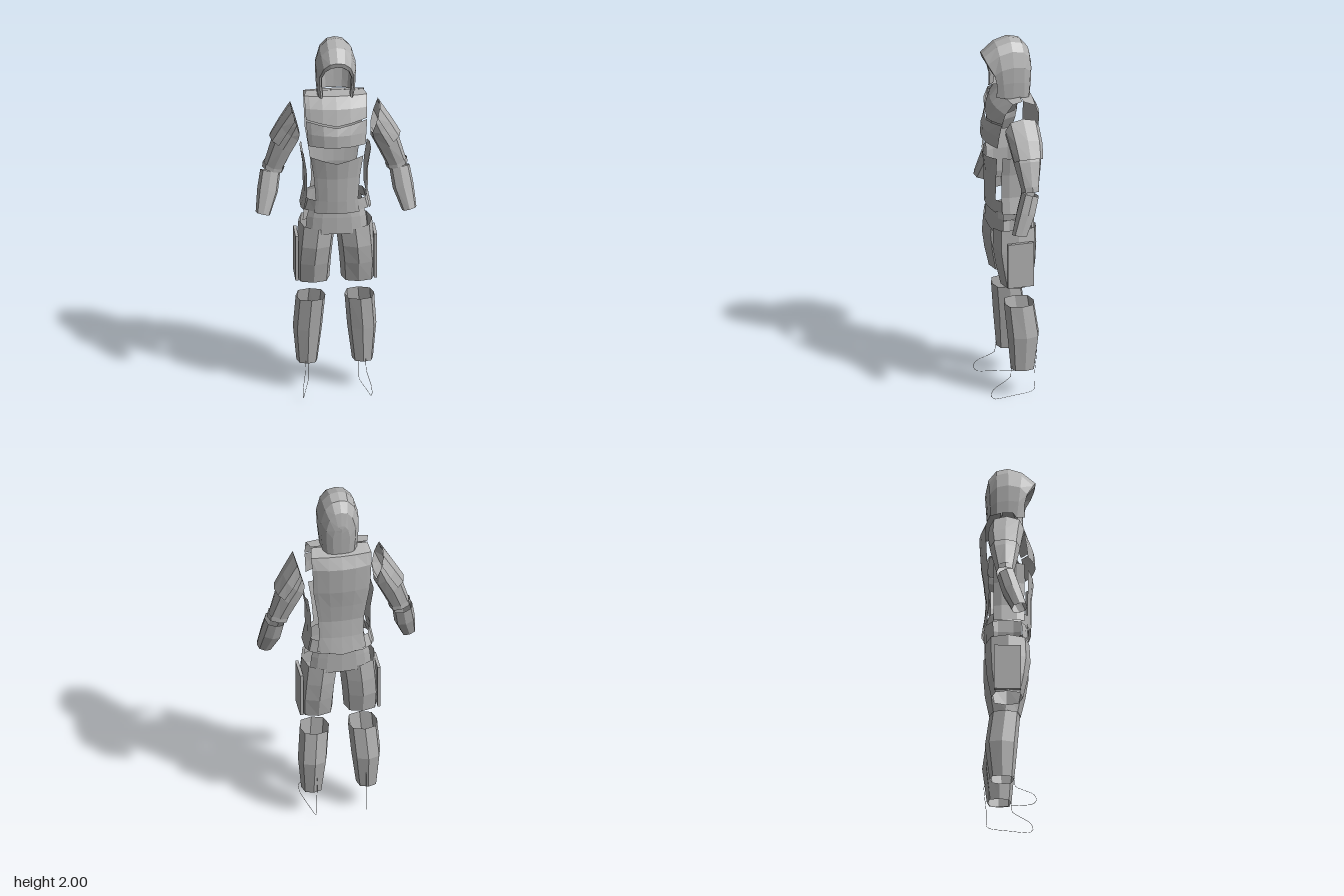
import * as THREE from 'three';

const fabric = new THREE.MeshStandardMaterial({ color: 0xb2b2b2, flatShading: true, side: THREE.DoubleSide });
fabric.name = 'grey fabric';

// Skin a list of equal-length point rows into a faceted surface
function grid(name, rows) {
  const pos = [], idx = [], n = rows[0].length;
  rows.forEach(r => r.forEach(p => pos.push(...p)));
  for (let i = 0; i < rows.length - 1; i++) {
    for (let j = 0; j < n - 1; j++) {
      const a = i * n + j, b = a + 1, c = a + n, d = c + 1;
      idx.push(a, c, b, b, c, d);
    }
  }
  const g = new THREE.BufferGeometry();
  g.setAttribute('position', new THREE.Float32BufferAttribute(pos, 3));
  g.setIndex(idx);
  const flat = g.toNonIndexed();
  flat.computeVertexNormals();
  const m = new THREE.Mesh(flat, fabric);
  m.name = name;
  return m;
}

// Tube or partial tube: rows are [outerX, outerY, innerX, innerY, frontZ, backZ, frontLift]
function sleeve(name, rows, from = 0, to = 360, n = 8) {
  const soft = v => Math.sign(v) * Math.abs(v) ** 0.75;
  return grid(name, rows.map(([xo, yo, xi, yi, zf, zb, lift = 0]) =>
    Array.from({ length: n + 1 }, (_, k) => {
      const a = THREE.MathUtils.degToRad(from + (to - from) * k / n);
      const c = soft(Math.cos(a)), s = soft(Math.sin(a));
      return [(xo + xi) / 2 + c * (xo - xi) / 2,
        (yo + yi) / 2 + c * (yo - yi) / 2 + s * lift,
        (zf + zb) / 2 + s * (zf - zb) / 2];
    })));
}

// Bowed body plate: rows are [y, halfWidth, centreZ, edgeZ, centreDrop]
function plate(name, rows) {
  const us = [-1, -0.85, -0.45, 0, 0.45, 0.85, 1];
  return grid(name, rows.map(([y, w, zc, ze, dy = 0]) =>
    us.map(u => [u * w, y + dy * (1 - Math.abs(u)), zc + (ze - zc) * u * u])));
}

// Hood made of arches from the rolled front lip to the back
function hood() {
  const half = [[0.9, 0], [0.98, 0.3], [1, 0.58], [0.78, 0.84], [0.42, 0.97]];
  const arch = [...half.map(([u, v]) => [-u, v]), [0, 1], ...half.slice().reverse()];
  // [halfWidth, topY, topZ, bottomY, bottomZ]
  const sections = [
    [0.076, 1.88, 0.105, 1.71, 0.065],
    [0.08, 1.895, 0.14, 1.7, 0.085],
    [0.09, 1.92, 0.146, 1.695, 0.088],
    [0.103, 1.978, 0.075, 1.69, 0.045],
    [0.106, 2.0, 0.0, 1.685, 0.0],
    [0.1, 1.985, -0.06, 1.68, -0.06],
    [0.078, 1.935, -0.1, 1.675, -0.09],
    [0.045, 1.86, -0.115, 1.675, -0.102],
    [0, 1.84, -0.117, 1.675, -0.104],
  ];
  return grid('hood', sections.map(([w, yt, zt, yb, zb]) => arch.map(([u, v]) => {
    // the front edge curls inward between chin and brow
    const bow = zt > 0.08 ? -0.025 * Math.sin(Math.PI * Math.min(v * 1.1, 1)) : 0;
    return [u * w, yb + (yt - yb) * v, zb + (zt - zb) * v + bow];
  })));
}

// Limb parts on the +x side, mirrored for the other
function side(s) {
  const g = new THREE.Group();
  g.name = s > 0 ? 'leftSide' : 'rightSide';
  g.add(
    sleeve('upperSleeve', [
      [0.23, 1.62, 0.185, 1.46, 0.075, -0.105],
      [0.285, 1.515, 0.187, 1.43, 0.06, -0.11],
      [0.332, 1.425, 0.222, 1.36, 0.045, -0.1],
      [0.372, 1.29, 0.272, 1.255, 0.02, -0.075]]),
    sleeve('shoulderCap', [
      [0.233, 1.63, 0.19, 1.45, 0.078, -0.108],
      [0.295, 1.53, 0.195, 1.42, 0.064, -0.114],
      [0.343, 1.445, 0.225, 1.37, 0.052, -0.106]], -80, 80, 4),
    sleeve('elbowCuff', [
      [0.376, 1.3, 0.262, 1.265, 0.02, -0.076],
      [0.38, 1.27, 0.272, 1.24, 0.02, -0.076]]),
    sleeve('forearmSleeve', [
      [0.39, 1.255, 0.285, 1.235, 0.02, -0.07, 0.015],
      [0.408, 1.16, 0.3, 1.135, 0.05, -0.045, 0.015],
      [0.42, 1.045, 0.345, 1.025, 0.085, 0.005, 0.008]]),
    sleeve('shortsLeg', [
      [0.192, 0.97, 0, 0.94, 0.11, -0.12],
      [0.203, 0.85, 0.012, 0.85, 0.115, -0.12],
      [0.21, 0.75, 0.022, 0.75, 0.1, -0.112],
      [0.205, 0.64, 0.03, 0.64, 0.075, -0.09]]),
    sleeve('shinGuard', [
      [0.205, 0.53, 0.05, 0.53, 0.06, -0.1],
      [0.218, 0.35, 0.065, 0.35, 0.045, -0.125],
      [0.2, 0.157, 0.09, 0.157, 0.028, -0.1]]),
    grid('flankPanel', [[1.385, 0.184], [1.28, 0.168], [1.15, 0.166], [1.06, 0.184]].map(
      ([y, x]) => [[x - 0.012, y, 0.08], [x, y, 0.04], [x, y, -0.04], [x - 0.012, y, -0.08]])));

  // flat pocket on the outside of the thigh
  const pocket = new THREE.Mesh(new THREE.BoxGeometry(0.016, 0.25, 0.14), fabric);
  pocket.name = 'thighPocket';
  pocket.position.set(0.205, 0.775, -0.01);
  g.add(pocket);

  // fine foot-shaped cord loop, toes turned slightly outward
  const loop = [[0.026, 0.17], [0.032, 0.115], [0.075, 0.09], [0.125, 0.065], [0.144, 0.032], [0.12, 0.004],
    [0.02, 0.003], [-0.075, 0.003], [-0.104, 0.018], [-0.104, 0.1], [-0.115, 0.25], [-0.04, 0.26]];
  const path = new THREE.CatmullRomCurve3(
    loop.map(([z, y]) => new THREE.Vector3(0.152 + 0.2 * z, y, z)), true, 'catmullrom', 0.3);
  const cord = new THREE.Mesh(new THREE.TubeGeometry(path, 48, 0.0012, 4, true), fabric);
  cord.name = 'footCord';
  g.add(cord);
  g.scale.x = s;
  return g;
}

export function createModel() {
  const model = new THREE.Group();
  model.name = 'hoodedOutfit';
  const hip = [
    [0.155, 1.1, -0.155, 1.1, 0.1, -0.12],
    [0.18, 1.02, -0.18, 1.02, 0.108, -0.12],
    [0.19, 0.93, -0.19, 0.93, 0.112, -0.12]];
  model.add(
    hood(),
    // chest, belly and back plates
    plate('frontYoke', [
      [1.69, 0.15, -0.035, -0.035], [1.685, 0.165, 0.04, 0.02],
      [1.63, 0.162, 0.09, 0.06], [1.575, 0.16, 0.118, 0.078, -0.03]]),
    plate('chestPlate', [
      [1.568, 0.16, 0.122, 0.08, -0.03], [1.5, 0.155, 0.142, 0.092], [1.435, 0.15, 0.146, 0.1]]),
    plate('bellyPlate', [
      [1.37, 0.138, 0.136, 0.1, -0.03], [1.25, 0.12, 0.126, 0.1],
      [1.12, 0.11, 0.125, 0.1], [1.05, 0.118, 0.122, 0.1]]),
    plate('backPlate', [
      [1.688, 0.15, -0.04, -0.04], [1.665, 0.16, -0.115, -0.1], [1.6, 0.156, -0.147, -0.122],
      [1.45, 0.15, -0.138, -0.115], [1.35, 0.134, -0.123, -0.108], [1.25, 0.12, -0.112, -0.1],
      [1.15, 0.118, -0.119, -0.105], [1.07, 0.13, -0.136, -0.112, -0.02]]),
    // belt and the open-sided hip of the shorts
    sleeve('belt', [
      [0.165, 1.12, -0.165, 1.12, 0.115, -0.11],
      [0.184, 1.055, -0.184, 1.055, 0.11, -0.13]], 0, 360, 12),
    sleeve('shortsFront', hip, 35, 145, 6),
    sleeve('shortsBack', hip, 215, 325, 6),
    side(1), side(-1));
  return model;
}
